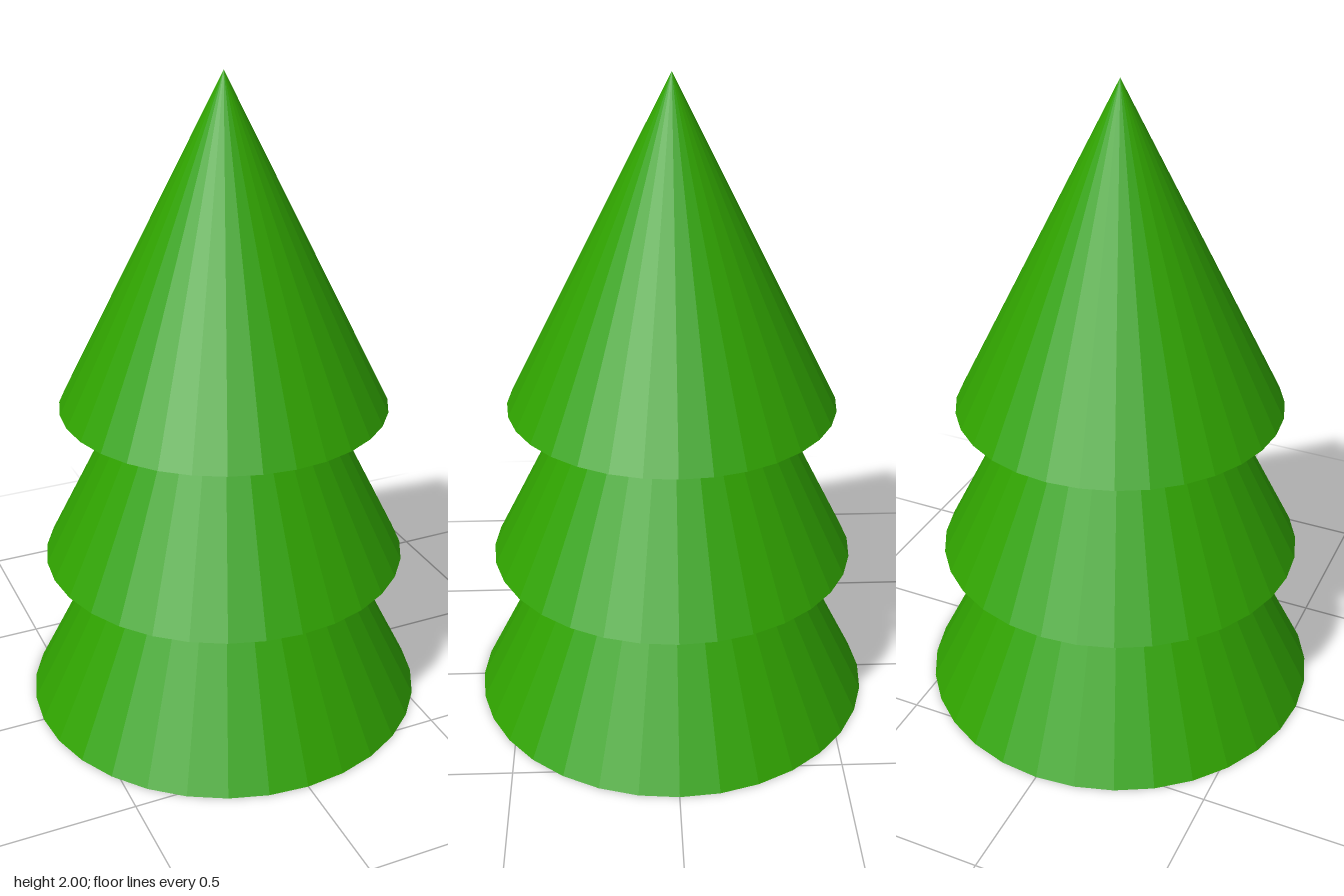
import * as THREE from 'three';

function makeMaterial(name, color) {
  const material = new THREE.MeshStandardMaterial({ color });
  material.name = name;
  material.flatShading = true;
  return material;
}

export function createModel() {
  const tree = new THREE.Group();
  tree.name = 'pineTree';
  const foliage = makeMaterial('foliageGreen', 0x30a300);
  const underside = makeMaterial('undersideDarkGreen', 0x1c4000);

  // Three closed, overlapping cones of the same slope, with darker bases
  const tiers = [
    { name: 'lowerFoliage', radius: 0.625, base: 0 },
    { name: 'middleFoliage', radius: 0.5625, base: 0.5 },
    { name: 'upperFoliage', radius: 0.5, base: 1 },
  ];
  for (const { name, radius, base } of tiers) {
    const height = radius * 2;
    // Material slots: side, top cap, bottom cap
    const cone = new THREE.Mesh(new THREE.ConeGeometry(radius, height, 32), [foliage, foliage, underside]);
    cone.name = name;
    cone.position.y = base + height / 2;
    tree.add(cone);
  }
  return tree;
}
